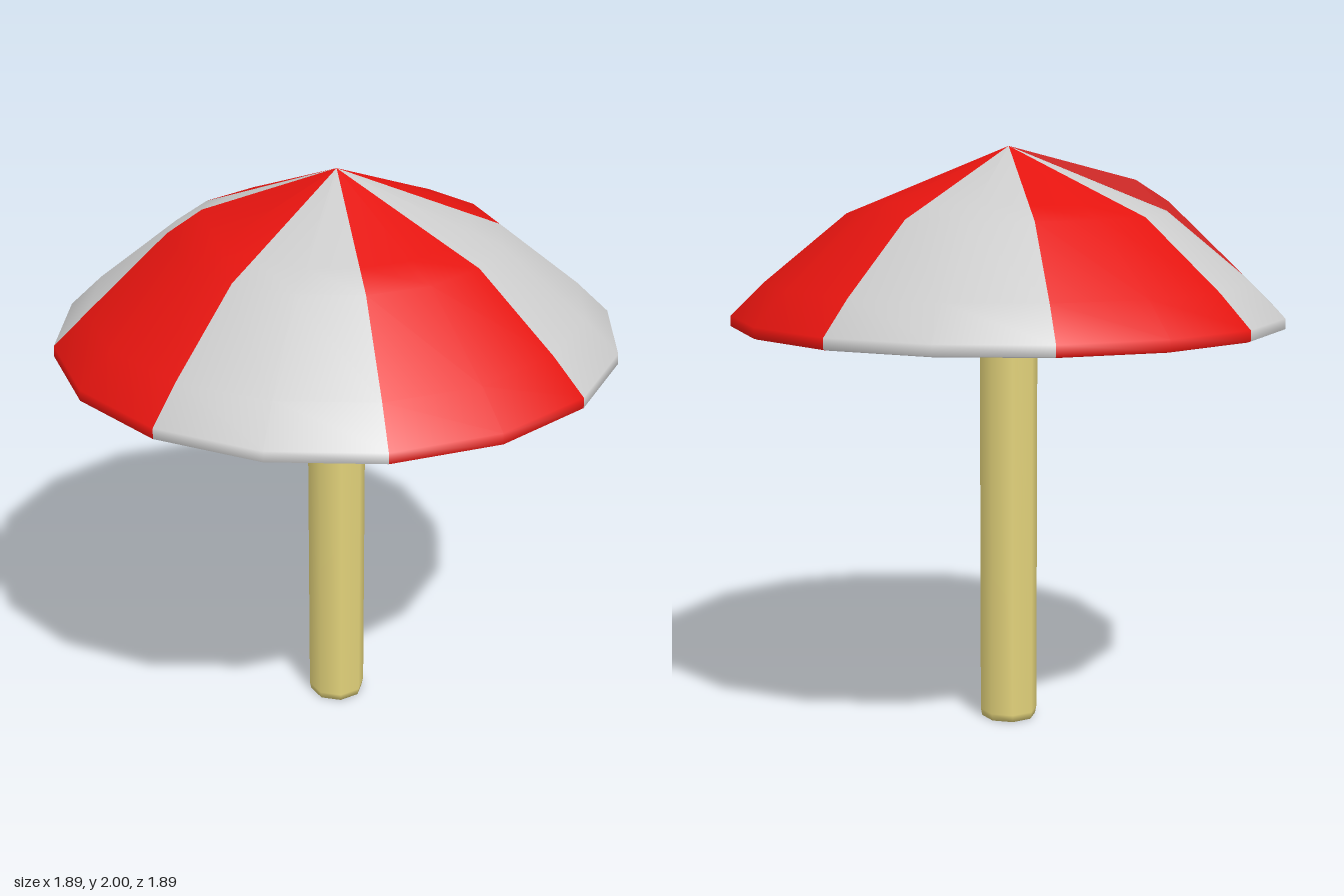
import * as THREE from 'three';

const points = (list) => list.map(([r, y]) => new THREE.Vector2(r, y));

export function createModel() {
  const parasol = new THREE.Group();
  parasol.name = 'parasol';

  const red = new THREE.MeshStandardMaterial({ color: 0xe4140f, side: THREE.DoubleSide });
  const white = new THREE.MeshStandardMaterial({ color: 0xcccccc, side: THREE.DoubleSide });
  const wood = new THREE.MeshStandardMaterial({ color: 0xe2d27a });

  const add = (geometry, material, name, parent = parasol) => {
    const mesh = new THREE.Mesh(geometry, material);
    mesh.name = name;
    parent.add(mesh);
    return mesh;
  };

  // Eight-sided pole with softened ends, stopping just under the canopy
  const poleProfile = points([
    [0, 0], [0.095, 0], [0.1, 0.025], [0.1, 1.7], [0.095, 1.725], [0, 1.725],
  ]);
  add(new THREE.LatheGeometry(poleProfile, 8), wood, 'pole');

  // Canopy: thin shell, underside first, then round the rim and up to the tip
  const outer = [[0.93, 1.4], [0.945, 1.405], [0.943, 1.44], [0.83, 1.55], [0.55, 1.778], [0.44, 1.822], [0, 2]];
  const inner = [[0, 1.985], [0.54, 1.764], [0.82, 1.537], [0.928, 1.43]];
  const canopyProfile = points([...inner, ...outer]);

  const canopy = new THREE.Group();
  canopy.name = 'canopy';
  parasol.add(canopy);

  // Alternating panels, two facets each
  const panelCount = 8;
  const angle = (Math.PI * 2) / panelCount;
  for (let i = 0; i < panelCount; i++) {
    const geometry = new THREE.LatheGeometry(canopyProfile, 2, i * angle, angle);
    if (i === 6) {
      // This panel's first edge is lifted near the top as a small fold
      const pos = geometry.attributes.position;
      const last = canopyProfile.length - 1;
      pos.setXYZ(last - 1, -0.44, 1.884, 0);
      pos.setXYZ(last - 2, -0.556, 1.81, 0);
    }
    add(geometry, i % 2 ? white : red, i % 2 ? 'whitePanel' : 'redPanel', canopy);
  }

  // Side of the lifted fold
  const fold = new THREE.Shape(points([
    [0, 2], [-0.44, 1.884], [-0.556, 1.81], [-0.83, 1.55], [-0.55, 1.778],
  ]));
  add(new THREE.ShapeGeometry(fold), red, 'panelFold', canopy);

  return parasol;
}
